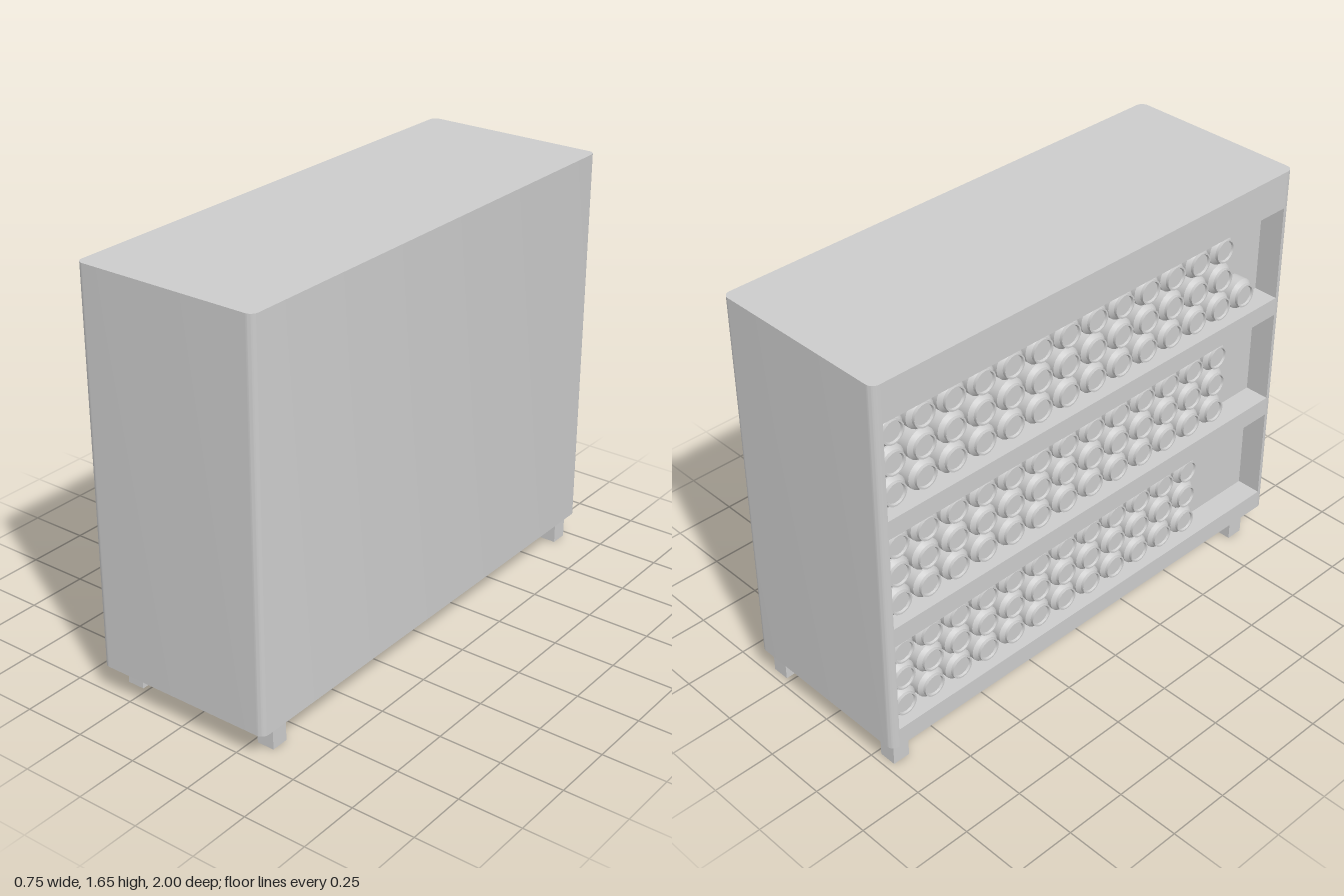
import * as THREE from 'three';
import { toCreasedNormals } from 'three/addons/utils/BufferGeometryUtils.js';

const HX = 0.373, HZ = 1, Y0 = 0.11, Y1 = 1.65; // cabinet extents
const R = 0.03, DEPTH = 0.1, OPEN = 0.965; // corner radius, niche depth, niche half width
const NICHES = [[0.19, 0.575], [0.655, 1.04], [1.115, 1.5]];
const CAN_R = 0.06;

export function createModel() {
  const group = new THREE.Group();
  const grey = new THREE.MeshStandardMaterial({ color: 0xcccccc });

  const add = (name, geometry, x = 0, y = 0, z = 0, parent = group) => {
    const mesh = new THREE.Mesh(geometry, grey);
    mesh.name = name;
    mesh.position.set(x, y, z);
    parent.add(mesh);
    return mesh;
  };

  // Cabinet shell: rounded plan with a shallow recess along the -x side
  const plan = new THREE.Shape();
  plan.moveTo(-HX + R, -HZ);
  plan.lineTo(HX - R, -HZ);
  plan.absarc(HX - R, -HZ + R, R, -Math.PI / 2, 0);
  plan.lineTo(HX, HZ - R);
  plan.absarc(HX - R, HZ - R, R, 0, Math.PI / 2);
  plan.lineTo(-HX + R, HZ);
  plan.absarc(-HX + R, HZ - R, R, Math.PI / 2, Math.PI);
  plan.lineTo(-HX, OPEN);
  plan.lineTo(-HX + DEPTH, OPEN);
  plan.lineTo(-HX + DEPTH, -OPEN);
  plan.lineTo(-HX, -OPEN);
  plan.lineTo(-HX, -HZ + R);
  plan.absarc(-HX + R, -HZ + R, R, Math.PI, Math.PI * 1.5);
  const shell = new THREE.ExtrudeGeometry(plan, { depth: Y1 - Y0, bevelEnabled: false, curveSegments: 8 });
  shell.rotateX(-Math.PI / 2);
  add('cabinet', toCreasedNormals(shell, 0.6), 0, Y0, 0);

  // Rails and shelves closing the recess between the three niches
  const edges = [Y0, ...NICHES.flat(), Y1];
  for (let i = 0; i < edges.length; i += 2) {
    const h = edges[i + 1] - edges[i];
    add('shelfRail', new THREE.BoxGeometry(DEPTH, h, OPEN * 2), -HX + DEPTH / 2, edges[i] + h / 2, 0);
  }

  // Can lying on its side: stepped rim, tapered shoulder and sunken end
  const profile = [
    [CAN_R, 0], [CAN_R, 0.048], [0.046, 0.062], [0.046, 0.074],
    [0.04, 0.074], [0.037, 0.066], [0, 0.066],
  ].map(([r, y]) => new THREE.Vector2(r, y));
  const can = toCreasedNormals(new THREE.LatheGeometry(profile, 20), 0.6);
  can.rotateZ(Math.PI / 2);

  // Cans stacked in rows, listed from the lowest row of the lowest niche
  const counts = [[12, 12, 12], [13, 13, 13], [14, 13, 13]];
  counts.forEach((rows, n) => {
    const stack = new THREE.Group();
    stack.name = 'canStack';
    group.add(stack);
    rows.forEach((count, row) => {
      for (let i = 0; i < count; i++) {
        add('can', can, -HX + DEPTH, NICHES[n][0] + CAN_R + 0.003 + row * 0.122, -0.903 + i * 0.132, stack);
      }
    });
  });

  // Four square feet
  const foot = new THREE.BoxGeometry(0.07, Y0, 0.07);
  for (const x of [-0.305, 0.305]) {
    for (const z of [-0.935, 0.875]) add('foot', foot, x, Y0 / 2, z);
  }

  return group;
}
